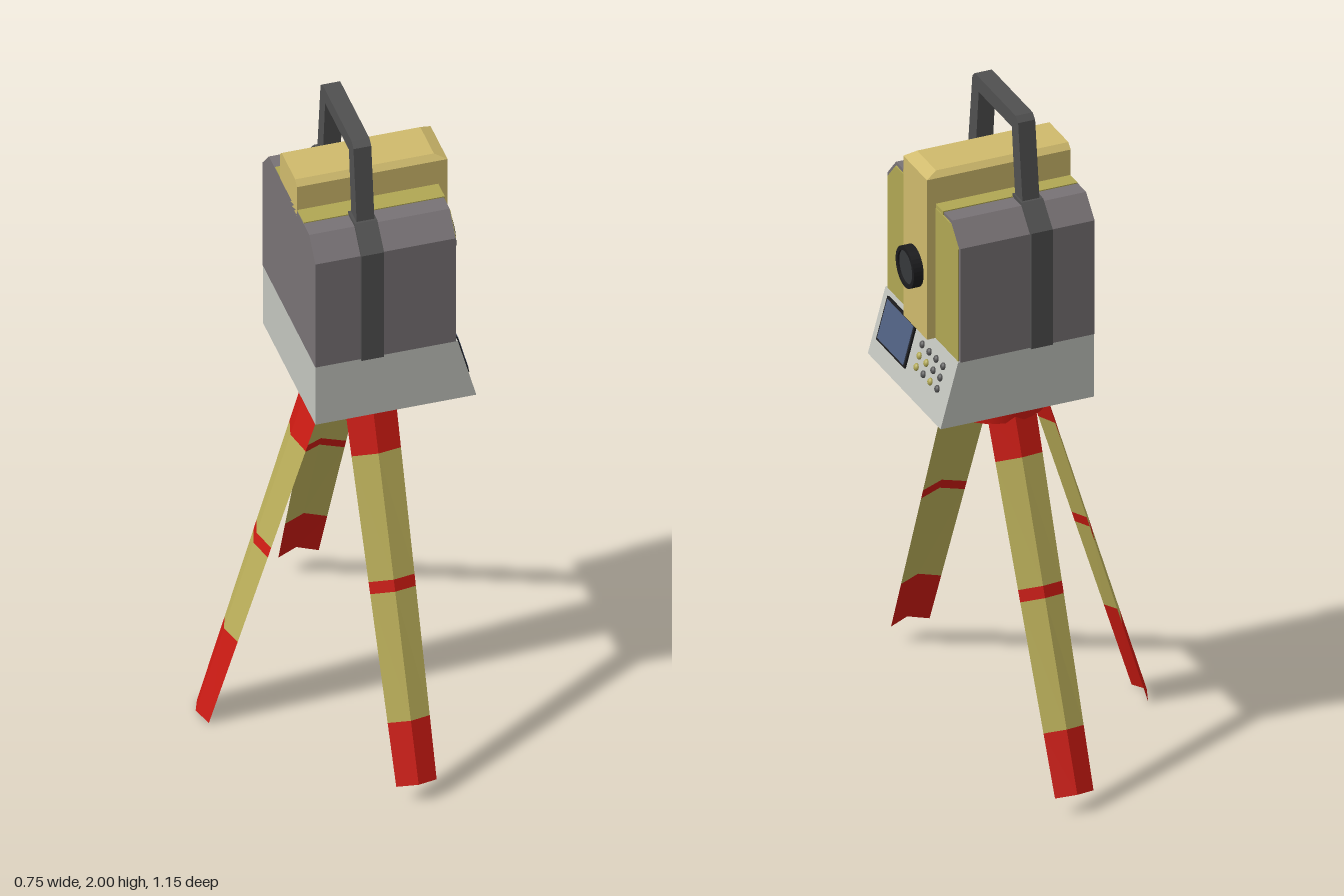
import * as THREE from 'three';

const mat = (color, opts = {}) => new THREE.MeshStandardMaterial({ color, ...opts });
const M = {
  shell: mat(0x787275), yellow: mat(0xb0a753), gold: mat(0xcfba6c), base: mat(0xc2c4be),
  handle: mat(0x505050), black: mat(0x1c1c1e), glass: mat(0x36383b), screen: mat(0x4f5f80), key: mat(0x555555),
  legRed: mat(0xcc1a12, { side: THREE.DoubleSide, flatShading: true }),
  legYellow: mat(0xbcb05a, { side: THREE.DoubleSide, flatShading: true }),
  red: mat(0xcc1a12),
};
const ZC = -0.01; // middle of the instrument in z
const XC = 0.097; // tripod axis in x

function add(parent, name, geometry, material, x = 0, y = 0, z = 0) {
  const mesh = new THREE.Mesh(geometry, material);
  mesh.name = name;
  mesh.position.set(x, y, z);
  parent.add(mesh);
  return mesh;
}

const toShape = (pts) => new THREE.Shape(pts.map(([a, b]) => new THREE.Vector2(a, b)));

// Extrudes a (z, y) outline along x from x0 to x1
function extrudeX(pts, x0, x1) {
  const g = new THREE.ExtrudeGeometry(toShape(pts.map(([z, y]) => [-z, y])), { depth: x1 - x0, bevelEnabled: false });
  return g.rotateY(Math.PI / 2).translate(x0, 0, 0);
}

// Housing outline with chamfered shoulders, grown by d
function housing(d, bottom = 1.32) {
  const w = 0.248 + d, s = 0.19 + d * 0.5;
  return [[-w, bottom], [w, bottom], [w, 1.68 + d * 0.5], [s, 1.742 + d], [-s, 1.742 + d], [-w, 1.68 + d * 0.5]];
}

// Folded strip leg: outward direction (dx, dz), coloured bands along its length
function makeLeg(name, dx, dz, top, foot, marks, wTop, wFoot) {
  const leg = new THREE.Group();
  leg.name = name;
  const section = (t) => {
    const r = top[0] + (foot[0] - top[0]) * t, y = top[1] + (foot[1] - top[1]) * t;
    const w = wTop + (wFoot - wTop) * t;
    const at = (side, rr, yy) => [dx * rr + dz * side, yy, dz * rr - dx * side];
    return [at(-w, r - 0.021, y - 0.009), at(0, r, y), at(w, r - 0.021, y - 0.009)];
  };
  for (let i = 0; i < marks.length - 1; i++) {
    const a = section(marks[i]), b = section(marks[i + 1]), pos = [];
    for (let k = 0; k < 2; k++) pos.push(...a[k], ...b[k], ...b[k + 1], ...a[k], ...b[k + 1], ...a[k + 1]);
    const g = new THREE.BufferGeometry();
    g.setAttribute('position', new THREE.Float32BufferAttribute(pos, 3));
    g.computeVertexNormals();
    add(leg, i % 2 ? 'legPanel' : 'legBand', g, i % 2 ? M.legYellow : M.legRed);
  }
  leg.position.set(XC, 0, -0.003);
  return leg;
}

export function createModel() {
  const model = new THREE.Group();
  model.name = 'surveyingInstrument';

  // Tripod
  const tripod = new THREE.Group();
  tripod.name = 'tripod';
  model.add(tripod);
  const sideMarks = [0, 0.12, 0.455, 0.487, 0.83, 1];
  const backMarks = [0, 0.146, 0.45, 0.48, 0.745, 1];
  tripod.add(makeLeg('frontLeg', 0, 1, [0.148, 1.066], [0.578, 0.06], sideMarks, 0.074, 0.059));
  tripod.add(makeLeg('backLeg', 0, -1, [0.148, 1.066], [0.574, 0.06], sideMarks, 0.074, 0.059));
  tripod.add(makeLeg('sideLeg', -1, 0, [0.148, 1.066], [0.472, 0.009], backMarks, 0.079, 0.056));
  add(tripod, 'tripodHead', new THREE.CylinderGeometry(0.152, 0.152, 0.03, 32), M.red, XC, 1.051, -0.005);

  // Levelling mount
  add(model, 'mountLower', new THREE.CylinderGeometry(0.133, 0.133, 0.03, 32), M.black, XC, 1.079, -0.005);
  add(model, 'mountUpper', new THREE.CylinderGeometry(0.153, 0.153, 0.025, 32), M.black, XC, 1.102, -0.005);
  add(model, 'mountNeck', new THREE.CylinderGeometry(0.14, 0.14, 0.012, 32), M.black, XC, 1.117, -0.005);

  // Base with sloping control face
  const base = new THREE.ExtrudeGeometry(
    toShape([[-0.1, 1.12], [0.37, 1.12], [0.316, 1.32], [-0.1, 1.32]]), { depth: 0.492, bevelEnabled: false });
  add(model, 'base', base, M.base, 0, 0, -0.254);

  // Screen and keys, laid out on the slope
  const panel = new THREE.Group();
  panel.name = 'controlPanel';
  panel.position.set(0.343, 1.22, 0);
  panel.rotation.z = Math.atan2(0.054, 0.2);
  model.add(panel);
  add(panel, 'screenFrame', new THREE.BoxGeometry(0.008, 0.134, 0.19), M.black, 0.002, 0.023, 0.11);
  add(panel, 'screen', new THREE.BoxGeometry(0.008, 0.12, 0.176), M.screen, 0.004, 0.023, 0.11);
  for (let row = 0; row < 3; row++) {
    for (let col = 0; col < 4; col++) {
      const key = new THREE.SphereGeometry(0.011, 10, 8).scale(0.7, 1, 1);
      const isYellow = row > 0 && col < 3 && (row + col) % 3 !== 0;
      add(panel, 'key', key, isYellow ? M.yellow : M.key, 0.002, 0.058 - row * 0.035, -0.042 - col * 0.047);
    }
  }

  // Housing: grey shell, yellow front panel and top strip
  add(model, 'shell', extrudeX(housing(0), -0.1, 0.31), M.shell, 0, 0, ZC);
  add(model, 'frontPanel', extrudeX(housing(-0.01), 0.305, 0.314), M.yellow, 0, 0, ZC);
  add(model, 'topStrip', new THREE.BoxGeometry(0.412, 0.012, 0.27), M.yellow, 0.107, 1.739, ZC);

  // Raised telescope column: bevelled ridge on top, stepping down the front
  const zc = -0.016;
  add(model, 'telescopeColumn', new THREE.BoxGeometry(0.14, 0.505, 0.16), M.gold, 0.27, 1.5725, zc);
  add(model, 'telescopeRidge', new THREE.BoxGeometry(0.44, 0.1, 0.16), M.gold, 0.12, 1.775, zc);
  const cap = new THREE.BoxGeometry(0.44, 0.016, 0.16);
  const p = cap.attributes.position;
  for (let i = 0; i < p.count; i++) {
    if (p.getY(i) < 0) continue;
    p.setZ(i, p.getZ(i) * 0.8);
    if (p.getX(i) > 0) p.setX(i, p.getX(i) - 0.035);
  }
  cap.computeVertexNormals();
  add(model, 'telescopeCap', cap, M.gold, 0.12, 1.833, zc);

  // Lens
  const barrel = new THREE.LatheGeometry(
    [[0.062, 0], [0.062, 0.032], [0.05, 0.032], [0.05, 0.024]].map(([r, y]) => new THREE.Vector2(r, y)), 32);
  const rim = add(model, 'lensRim', barrel.toNonIndexed(), mat(0x1c1c1e, { side: THREE.DoubleSide, flatShading: true }), 0.338, 1.515, -0.012);
  rim.rotation.z = -Math.PI / 2;
  const lens = add(model, 'lens', new THREE.CylinderGeometry(0.051, 0.051, 0.028, 32), M.glass, 0.35, 1.515, -0.012);
  lens.rotation.z = -Math.PI / 2;

  // Carrying handle: arch above, straps down both sides
  const arch = [[0.186, 1.74], [0.155, 1.985], [0.138, 2], [-0.138, 2], [-0.155, 1.985], [-0.186, 1.74],
    [-0.135, 1.74], [-0.112, 1.953], [0.112, 1.953], [0.135, 1.74]];
  add(model, 'handle', extrudeX(arch, 0.04, 0.092), M.handle, 0, 0, ZC);
  for (const s of [1, -1]) {
    const strap = [[0.235, 1.32], [0.257, 1.32], [0.257, 1.685], [0.192, 1.752], [0.13, 1.752], [0.13, 1.735], [0.18, 1.735], [0.235, 1.68]];
    add(model, 'handleStrap', extrudeX(strap.map(([z, y]) => [z * s, y]), 0.032, 0.098), M.handle, 0, 0, ZC);
  }
  return model;
}
